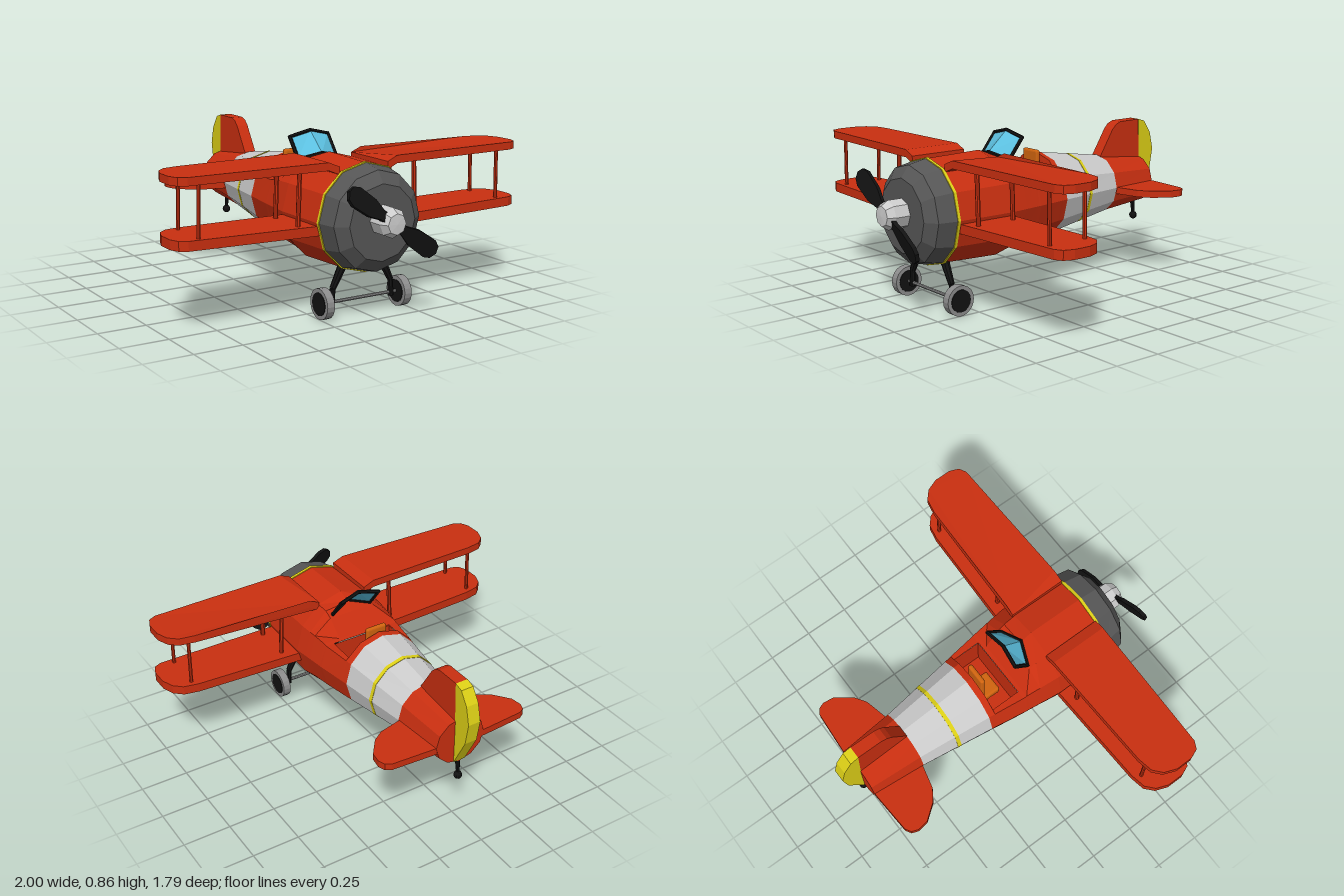
import * as THREE from 'three';
import { RoundedBoxGeometry } from 'three/addons/geometries/RoundedBoxGeometry.js';

const RED = 0xc92f10, DARK = 0x565656, GREY = 0xcccccc, YELLOW = 0xdccf16;
const BLACK = 0x121212, BLUE = 0x5cc0e0, ORANGE = 0xd0640f;
const V = (x, y, z) => new THREE.Vector3(x, y, z);

export function createModel() {
  const plane = new THREE.Group();
  plane.name = 'biplane';

  const add = (name, geo, color, side = THREE.FrontSide) => {
    const mesh = new THREE.Mesh(geo, new THREE.MeshStandardMaterial({ color, side, flatShading: true }));
    mesh.name = name;
    plane.add(mesh);
    return mesh;
  };

  // Round bar between two points
  const bar = (name, a, b, r, color, sides = 8, r2 = r) => {
    const mesh = add(name, new THREE.CylinderGeometry(r2, r, a.distanceTo(b), sides), color);
    mesh.position.copy(a).add(b).multiplyScalar(0.5);
    mesh.quaternion.setFromUnitVectors(V(0, 1, 0), b.clone().sub(a).normalize());
    return mesh;
  };

  const shapeOf = (pts) => new THREE.Shape(pts.map(([x, y]) => new THREE.Vector2(x, y)));

  // Horizontal slab from an (x, z) outline
  const slab = (pts, yTop, thick) => {
    const geo = new THREE.ExtrudeGeometry(shapeOf(pts), { depth: thick, bevelEnabled: false });
    return geo.rotateX(Math.PI / 2).translate(0, yTop, 0);
  };

  // Upright slab from a (z, y) outline, centred on x = 0
  const upright = (pts, thick) => {
    const geo = new THREE.ExtrudeGeometry(shapeOf(pts.map(([z, y]) => [-z, y])), { depth: thick, bevelEnabled: false });
    return geo.rotateY(Math.PI / 2).translate(-thick / 2, 0, 0);
  };

  // Twelve-sided hull; sections run nose to tail: z, half width, radius up, radius down, height limit, open cockpit
  const hull = (name, color, sections, capFront, capBack) => {
    const N = 12, pos = [], idx = [];
    for (const [z, rx, up, down, limit = 9, open = false] of sections) {
      for (let j = 0; j < N; j++) {
        const a = (j / N) * Math.PI * 2, s = Math.sin(a);
        let x = rx * Math.cos(a);
        if (open && (j === 2 || j === 4)) x = 0.17 * Math.sign(x);
        pos.push(x, Math.min(0.49 + s * (s > 0 ? up : down), limit), z);
      }
    }
    for (let i = 0; i < sections.length - 1; i++) {
      for (let j = 0; j < N; j++) {
        if (sections[i][5] && sections[i + 1][5] && (j === 2 || j === 3)) continue;
        const a = i * N + j, b = i * N + (j + 1) % N;
        idx.push(a, a + N, b + N, a, b + N, b);
      }
    }
    const last = (sections.length - 1) * N;
    for (let j = 1; j < N - 1; j++) {
      if (capFront) idx.push(0, j, j + 1);
      if (capBack) idx.push(last, last + j + 1, last + j);
    }
    const geo = new THREE.BufferGeometry();
    geo.setAttribute('position', new THREE.Float32BufferAttribute(pos, 3));
    geo.setIndex(idx);
    geo.computeVertexNormals();
    return add(name, geo, color);
  };

  // Fuselage bands
  hull('engineCowl', DARK, [
    [0.78, 0.19, 0.19, 0.19], [0.735, 0.25, 0.25, 0.25], [0.635, 0.268, 0.27, 0.27]], true, false);
  hull('cowlBand', YELLOW, [[0.636, 0.272, 0.275, 0.275], [0.62, 0.272, 0.275, 0.275]], true, true);
  hull('frontFuselage', RED, [
    [0.62, 0.27, 0.27, 0.27], [0.31, 0.275, 0.277, 0.283], [0.24, 0.267, 0.27, 0.262, 0.74],
    [0.2, 0.262, 0.265, 0.252, 0.7], [0.12, 0.252, 0.255, 0.245, 0.615], [0.1, 0.25, 0.25, 0.243, 0.61, true],
    [-0.06, 0.226, 0.226, 0.225, 0.605, true], [-0.065, 0.225, 0.225, 0.224], [-0.1, 0.22, 0.22, 0.22]], true, false);
  hull('rearBand', GREY, [[-0.1, 0.22, 0.22, 0.22], [-0.5, 0.165, 0.16, 0.155]], false, false);
  hull('rearStripe', YELLOW, [[-0.28, 0.197, 0.195, 0.192], [-0.3, 0.194, 0.192, 0.189]], true, true);
  hull('tailCone', RED, [[-0.5, 0.165, 0.16, 0.155], [-0.79, 0.14, 0.13, 0.13]], false, true);

  // Cockpit well and seat
  add('cockpitWell', new THREE.BoxGeometry(0.34, 0.2, 0.16).translate(0, 0.506, 0.02), RED, THREE.BackSide);
  add('seatBack', new RoundedBoxGeometry(0.12, 0.3, 0.026, 2, 0.012).translate(0, 0.585, -0.037), ORANGE);
  add('seatCushion', new RoundedBoxGeometry(0.12, 0.05, 0.11, 2, 0.012).translate(0, 0.45, 0.015), ORANGE);

  // Windshield: two panes folded at the middle, inside a black frame
  const pane = [V(-0.115, 0.72, 0.2), V(0, 0.75, 0.245), V(0.115, 0.72, 0.2),
    V(0.115, 0.825, 0.118), V(0, 0.853, 0.13), V(-0.115, 0.825, 0.118)];
  const glass = new THREE.BufferGeometry().setFromPoints(pane);
  glass.setIndex([0, 1, 4, 0, 4, 5, 1, 2, 3, 1, 3, 4]);
  glass.computeVertexNormals();
  add('windshieldGlass', glass, BLUE, THREE.DoubleSide);
  pane.forEach((p, i) => {
    bar('windshieldFrame', p, pane[(i + 1) % 6], 0.01, BLACK, 6);
    add('windshieldCorner', new THREE.IcosahedronGeometry(0.011, 0), BLACK).position.copy(p);
  });

  // Wings and struts
  const tip = [[0.85, 0.32], [0.93, 0.335], [0.975, 0.375], [1, 0.44], [1, 0.53], [0.98, 0.58], [0.94, 0.6]];
  for (const s of [-1, 1]) {
    const side = s > 0 ? 'left' : 'right';
    const mirror = (pts) => pts.map(([x, z]) => [s * x, z]);
    const upper = slab(mirror([[0.14, 0.3], [0.2, 0.3], ...tip, [0.2, 0.617], [0.14, 0.62]]), 0.775, 0.04);
    const p = upper.attributes.position;
    for (let i = 0; i < p.count; i++) if (Math.abs(p.getX(i)) < 0.17) p.setY(i, p.getY(i) - 0.025);
    upper.computeVertexNormals();
    add(side + 'UpperWing', upper, RED);

    const lower = slab(mirror([[0.2, 0.3], ...tip, [0.2, 0.617]]), 0.468, 0.048);
    const q = lower.attributes.position;
    for (let i = 0; i < q.count; i++) q.setY(i, q.getY(i) + 0.016 * Math.abs(q.getX(i)));
    lower.computeVertexNormals();
    add(side + 'LowerWing', lower, RED);

    for (const z of [0.36, 0.57]) {
      bar(side + 'InnerStrut', V(s * 0.345, 0.46, z), V(s * 0.335, 0.75, z), 0.012, RED);
      bar(side + 'OuterStrut', V(s * 0.875, 0.46, z), V(s * 0.87, 0.75, z), 0.01, RED);
    }

    // Landing gear
    const knee = V(s * 0.172, 0.15, 0.61);
    bar(side + 'UpperLeg', V(s * 0.11, 0.27, 0.61), knee, 0.024, BLACK, 8, 0.016);
    bar(side + 'LowerLeg', knee, V(s * 0.176, 0.065, 0.61), 0.014, BLACK, 8, 0.016);
    bar(side + 'Tyre', V(s * 0.208, 0.083, 0.61), V(s * 0.25, 0.083, 0.61), 0.078, 0x8c8c8c, 20);
    bar(side + 'WheelHub', V(s * 0.205, 0.083, 0.61), V(s * 0.253, 0.083, 0.61), 0.058, BLACK, 16);

    // Tailplane
    add(side + 'Tailplane', slab(mirror([[0.08, -0.5], [0.155, -0.503], [0.29, -0.535], [0.35, -0.575], [0.415, -0.66],
      [0.423, -0.72], [0.41, -0.755], [0.38, -0.773], [0.15, -0.788], [0.08, -0.788]]), 0.492, 0.036), RED);
  }
  bar('axle', V(-0.22, 0.083, 0.61), V(0.22, 0.083, 0.61), 0.009, 0x8c8c8c);

  // Fin, rudder and tail skid
  add('fin', upright([[-0.5, 0.6], [-0.5, 0.65], [-0.585, 0.785], [-0.61, 0.81], [-0.645, 0.824],
    [-0.78, 0.825], [-0.788, 0.6]], 0.066), RED);
  add('rudder', upright([[-0.779, 0.826], [-0.825, 0.812], [-0.87, 0.745], [-0.893, 0.65],
    [-0.873, 0.53], [-0.79, 0.365], [-0.787, 0.62]], 0.068), YELLOW);
  bar('tailSkid', V(0, 0.27, -0.785), V(0, 0.38, -0.775), 0.008, BLACK, 8, 0.014);
  add('tailWheel', new THREE.SphereGeometry(0.022, 10, 8).translate(0, 0.27, -0.785), BLACK);

  // Propeller hub and two blades
  const hub = new THREE.LatheGeometry([[0.075, 0.77], [0.075, 0.86], [0.052, 0.897], [0, 0.9]]
    .map(([r, z]) => new THREE.Vector2(r, z)), 8);
  add('propellerHub', hub.rotateX(Math.PI / 2).translate(0, 0.505, 0), GREY, THREE.DoubleSide);
  const blade = shapeOf([[0, -0.025], [0.08, -0.025], [0.15, -0.046], [0.26, -0.05], [0.295, -0.035],
    [0.31, 0], [0.295, 0.035], [0.26, 0.05], [0.15, 0.046], [0.08, 0.025], [0, 0.025]]);
  for (const turn of [0, Math.PI]) {
    const geo = new THREE.ExtrudeGeometry(blade, { depth: 0.02, bevelEnabled: false }).translate(0, 0, -0.01);
    const mesh = add('propellerBlade', geo.rotateX(0.25), BLACK);
    mesh.position.set(0, 0.505, 0.862);
    mesh.rotation.z = turn - 0.61;
  }
  return plane;
}
